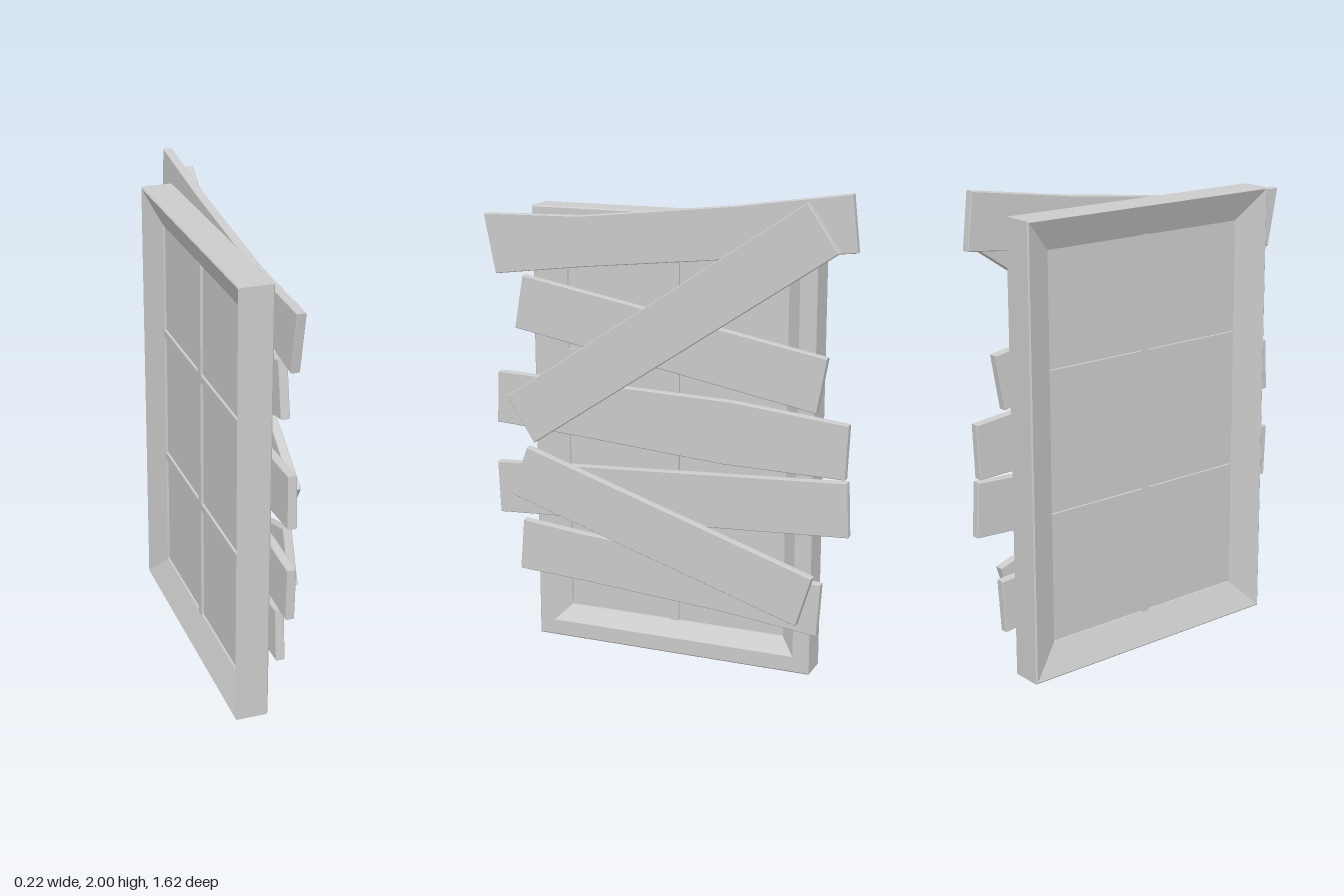
import * as THREE from 'three';

const material = new THREE.MeshStandardMaterial({ color: 0xcccccc });

// Outer rectangle of the window: z from zMin to zMax, y from 0 to top
const zMin = -0.635, zMax = 0.605, top = 1.89;
const zMid = (zMin + zMax) / 2;

function addMesh(parent, geometry, name) {
  const mesh = new THREE.Mesh(geometry, material);
  mesh.name = name;
  parent.add(mesh);
  return mesh;
}

function addBox(parent, name, size, position) {
  addMesh(parent, new THREE.BoxGeometry(...size), name).position.set(...position);
}

// Mitred frame: a moulding section swept around the four corners
function frameGeometry() {
  // Each section point: [inset from the outer edge, x]
  const section = [
    [0, -0.11], [0, 0.02], [0.006, 0.026], [0.07, 0.026],
    [0.132, -0.03], [0.132, -0.06], [0.006, -0.115],
  ];
  const corner = (i, [inset, x]) => [
    x,
    i === 0 || i === 1 ? inset : top - inset,
    i === 0 || i === 3 ? zMax - inset : zMin + inset,
  ];
  const positions = [];
  for (let i = 0; i < 4; i++) {
    const j = (i + 1) % 4;
    section.forEach((p, k) => {
      const q = section[(k + 1) % section.length];
      const a = corner(i, p), b = corner(j, p), c = corner(j, q), d = corner(i, q);
      positions.push(...a, ...b, ...c, ...a, ...c, ...d);
    });
  }
  const geometry = new THREE.BufferGeometry();
  geometry.setAttribute('position', new THREE.Float32BufferAttribute(positions, 3));
  geometry.computeVertexNormals();
  return geometry;
}

// Board cut from a [z, y] outline and given thickness along x
function plankGeometry(outline, x, thickness) {
  const shape = new THREE.Shape(outline.map(([z, y]) => new THREE.Vector2(-z, y)));
  const bevel = 0.003;
  const geometry = new THREE.ExtrudeGeometry(shape, {
    depth: thickness - 2 * bevel,
    bevelEnabled: true, bevelSize: bevel, bevelThickness: bevel,
    bevelOffset: -bevel, bevelSegments: 1,
  });
  return geometry.rotateY(Math.PI / 2).translate(x + bevel, 0, 0);
}

export function createModel() {
  const model = new THREE.Group();
  model.name = 'boardedWindow';

  // Window: frame, glass and glazing bars
  const win = new THREE.Group();
  win.name = 'window';
  model.add(win);
  addMesh(win, frameGeometry(), 'frame');
  addBox(win, 'glass', [0.012, 1.64, 0.99], [-0.045, top / 2, zMid]);
  addBox(win, 'verticalBar', [0.036, 1.63, 0.034], [-0.045, top / 2, zMid]);
  for (const y of [0.67, 1.265]) {
    addBox(win, 'horizontalBar', [0.034, 0.034, 0.98], [-0.045, y, zMid]);
  }

  // Boards nailed across the opening, some of them warped
  const planks = new THREE.Group();
  planks.name = 'planks';
  model.add(planks);
  const crossPlanks = [
    [[0.81, 1.85], [0.76, 1.6], [0.37, 1.65], [-0.3, 1.722], [-0.805, 1.775], [-0.78, 2], [-0.3, 1.932], [0.37, 1.86]],
    [[0.635, 1.6], [0.675, 1.375], [-0.655, 1.13], [-0.695, 1.355]],
    [[0.76, 1.18], [0.77, 0.957], [0.37, 0.93], [-0.26, 0.88], [-0.78, 0.87], [-0.79, 1.095], [-0.3, 1.145], [0.17, 1.16]],
    [[0.775, 0.78], [0.765, 0.553], [-0.8, 0.632], [-0.79, 0.86]],
    [[0.655, 0.53], [0.675, 0.305], [0.37, 0.288], [-0.27, 0.24], [-0.675, 0.193], [-0.69, 0.418], [-0.3, 0.45], [0.37, 0.5]],
  ];
  for (const outline of crossPlanks) {
    addMesh(planks, plankGeometry(outline, 0.03, 0.037), 'crossPlank');
  }

  // Slanted boards lying over the others
  const diagonalPlanks = [
    [[0.7, 1.085], [0.575, 0.893], [-0.745, 1.775], [-0.615, 1.965]],
    [[0.61, 0.87], [0.69, 0.655], [-0.6, 0.242], [-0.665, 0.455]],
  ];
  for (const outline of diagonalPlanks) {
    addMesh(planks, plankGeometry(outline, 0.072, 0.037), 'diagonalPlank');
  }

  return model;
}
